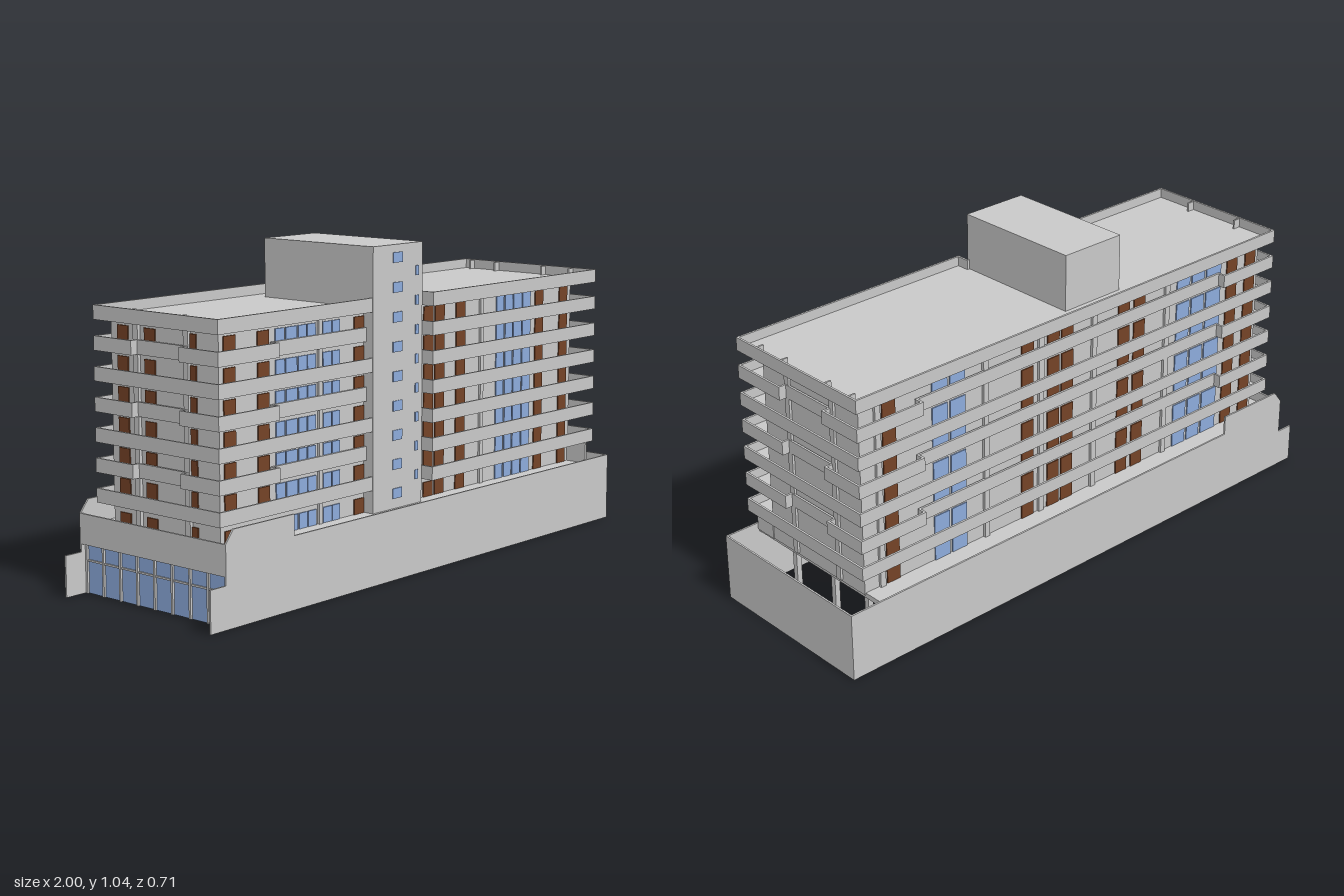
import * as THREE from 'three';

const concrete = new THREE.MeshStandardMaterial({ color: 0xc8c8c8 });
concrete.name = 'concrete';
const timber = new THREE.MeshStandardMaterial({ color: 0x744226 });
timber.name = 'brown timber';
const glass = new THREE.MeshStandardMaterial({ color: 0x8caadb });
glass.name = 'blue glass';

const PITCH = 0.0925;         // storey height
const BAND0 = 0.285;          // underside of the lowest balcony
const FLOORS = 7;

// Box given by its limits on each axis
function box(parent, name, x0, x1, y0, y1, z0, z1, mat = concrete) {
  const mesh = new THREE.Mesh(new THREE.BoxGeometry(x1 - x0, y1 - y0, z1 - z0), mat);
  mesh.position.set((x0 + x1) / 2, (y0 + y1) / 2, (z0 + z1) / 2);
  mesh.name = name;
  parent.add(mesh);
  return mesh;
}

// Plan outline (x, z) raised from y0 to y1, with an optional hole
function plan(parent, name, pts, y0, y1, hole) {
  const shape = new THREE.Shape(pts.map(p => new THREE.Vector2(p[0], p[1])));
  if (hole) shape.holes.push(new THREE.Path(hole.map(p => new THREE.Vector2(p[0], p[1]))));
  const geo = new THREE.ExtrudeGeometry(shape, { depth: y1 - y0, bevelEnabled: false });
  geo.rotateX(Math.PI / 2).translate(0, y1, 0);
  const mesh = new THREE.Mesh(geo, concrete);
  mesh.name = name;
  parent.add(mesh);
}

// Balcony outline, pulled in by t; notched floors step back in the middle of each side
function outline(t, notched) {
  const n = notched ? 0.025 : 0;
  const L = -0.893 + t, R = 0.9 - t, B = -0.262 + t, F = 0.302 - t, G = 0.258 - t;
  const e = 0.1 + t, s = 0.65 + t;
  if (!n) return [[L, B], [R, B], [R, F], [0.014 + t, F], [0.014 + t, G], [L, G]];
  return [
    [L, B], [-s, B], [-s, B + n], [s, B + n], [s, B], [R, B],
    [R, -e], [R - n, -e], [R - n, e], [R, e], [R, F],
    [0.014 + t, F], [0.014 + t, G - n], [-0.64 - t, G - n], [-0.64 - t, G], [L, G],
    [L, e], [L + n, e], [L + n, -e], [L, -e],
  ];
}

function makePodium() {
  const g = new THREE.Group();
  g.name = 'podium';
  // Long walls with a raised, stepped end
  const profile = [[-0.985, 0], [0.985, 0], [0.985, 0.225], [-0.635, 0.225], [-0.635, 0.29],
    [-0.89, 0.29], [-0.922, 0.25], [-0.922, 0.13], [-0.985, 0.13]];
  const shape = new THREE.Shape(profile.map(p => new THREE.Vector2(p[0], p[1])));
  for (const z of [-0.309, 0.303]) {
    const geo = new THREE.ExtrudeGeometry(shape, { depth: 0.006, bevelEnabled: false });
    const wall = new THREE.Mesh(geo, concrete);
    wall.position.z = z;
    wall.name = z > 0 ? 'podiumFrontWall' : 'podiumBackWall';
    g.add(wall);
  }
  box(g, 'podiumEndWall', 0.979, 0.985, 0, 0.225, -0.303, 0.303);
  box(g, 'deck', -0.918, 0.862, 0.195, 0.212, -0.303, 0.303);
  box(g, 'deckEndParapet', -0.922, -0.915, 0.155, 0.25, -0.303, 0.303);
  // Glazed entrance end
  box(g, 'entranceGlass', -0.903, -0.898, 0, 0.195, -0.303, 0.303, glass);
  for (let i = 0; i <= 8; i++) {
    const z = -0.296 + i * 0.074;
    box(g, 'entranceMullion', -0.91, -0.892, 0, 0.195, z - 0.004, z + 0.004);
  }
  box(g, 'entranceTransom', -0.907, -0.894, 0.1, 0.106, -0.303, 0.303);
  // Columns of the open undercroft
  for (const x of [-0.77, -0.58, -0.41, 0.14, 0.33, 0.5, 0.67, 0.84])
    for (const z of [-0.21, -0.05, 0.14])
      box(g, 'undercroftColumn', x - 0.009, x + 0.009, 0, 0.195, z - 0.009, z + 0.009);
  return g;
}

function makeTower() {
  const g = new THREE.Group();
  g.name = 'stairTower';
  box(g, 'towerShaft', -0.225, 0.011, 0, 1.04, -0.193, 0.26);
  for (let i = 0; i < 9; i++) {
    const y = 0.26 + i * PITCH;
    box(g, 'towerWindow', -0.132, -0.088, y - 0.016, y + 0.016, 0.257, 0.263, glass);
    if (i < 8) box(g, 'stairWindow', -0.024, -0.009, y + 0.03, y + 0.06, 0.257, 0.263, glass);
  }
  return g;
}

// Window spans along each side: [from, to]
const FRONT_TIMBER = [[-0.838, -0.79], [-0.698, -0.65], [-0.272, -0.228], [0.063, 0.11], [0.12, 0.167],
  [0.228, 0.275], [0.658, 0.702], [0.797, 0.842]];
const FRONT_GLASS = [[-0.622, -0.584], [-0.578, -0.53], [-0.524, -0.488], [-0.484, -0.448], [-0.415, -0.378],
  [-0.374, -0.34], [0.442, 0.482], [0.49, 0.53], [0.536, 0.58], [0.586, 0.63]];
const BACK_TIMBER = [[0.73, 0.78], [0.18, 0.23], [0.07, 0.12], [0.01, 0.06], [-0.24, -0.19],
  [-0.31, -0.26], [-0.75, -0.7], [-0.84, -0.79]];
const BACK_GLASS = [[0.53, 0.59], [0.46, 0.52], [-0.52, -0.46], [-0.59, -0.53], [-0.67, -0.6]];
const END_TIMBER = [[-0.195, -0.15], [-0.08, -0.035], [0.09, 0.135]];

function makeStorey(i) {
  const g = new THREE.Group();
  g.name = 'storey';
  const y0 = i === 0 ? 0.212 : BAND0 + (i - 1) * PITCH + 0.01;
  const y1 = i === 0 ? 0.26 : y0 + 0.07;
  const sides = [[FRONT_TIMBER, timber, 0.222], [FRONT_GLASS, glass, 0.222],
    [BACK_TIMBER, timber, -0.225], [BACK_GLASS, glass, -0.225]];
  for (const [spans, mat, z] of sides)
    for (const [a, b] of spans)
      box(g, mat === timber ? 'timberWindow' : 'glassWindow', a, b, y0, y1, z - 0.004, z + 0.004, mat);
  for (const [a, b] of END_TIMBER)
    box(g, 'endWindow', -0.859, -0.851, y0, y1, a, b, timber);
  return g;
}

export function createModel() {
  const model = new THREE.Group();
  model.name = 'apartmentBlock';
  const building = new THREE.Group();
  building.name = 'building';
  building.rotation.y = -0.047;
  model.add(building);

  building.add(makePodium(), makeTower());

  // Main block with its windows
  box(building, 'mainBlock', -0.855, 0.865, 0.205, 0.848, -0.225, 0.222);
  for (let i = 0; i < FLOORS; i++) building.add(makeStorey(i));

  // Balcony slabs and parapets; the last one is the roof
  for (let i = 0; i < FLOORS; i++) {
    const y = BAND0 + i * PITCH, notched = i % 2 === 1;
    const name = i === FLOORS - 1 ? 'roof' : 'balcony';
    plan(building, name + 'Slab', outline(0.003, notched), y + 0.001, y + 0.012);
    plan(building, name + 'Parapet', outline(0, notched), y, y + 0.044, outline(0.007, notched));
  }

  // Piers between the balconies
  for (const x of [0.8, 0.38, 0.15, -0.08, -0.41])
    box(building, 'backPier', x - 0.01, x + 0.01, 0.212, 0.845, -0.234, -0.225);
  for (const x of [-0.43, 0.36])
    box(building, 'frontPier', x - 0.008, x + 0.008, 0.212, 0.845, 0.222, 0.23);
  for (const z of [-0.11, 0.1]) {
    box(building, 'endPierLeft', 0.86, 0.873, 0.212, 0.845, z - 0.01, z + 0.01);
    box(building, 'endPierRight', -0.866, -0.85, 0.212, 0.845, z - 0.01, z + 0.01);
  }
  box(building, 'groundFin', 0.86, 0.868, 0.205, 0.286, 0.22, 0.3);

  // Small brackets behind the roof parapet
  const yr = BAND0 + 6 * PITCH;
  for (const z of [-0.22, -0.11, 0.093, 0.21])
    box(building, 'roofBracket', 0.868, 0.895, yr + 0.01, yr + 0.042, z - 0.003, z + 0.003);
  for (const z of [-0.11, 0.1])
    box(building, 'roofBracket', -0.888, -0.86, yr + 0.01, yr + 0.042, z - 0.003, z + 0.003);

  return model;
}
